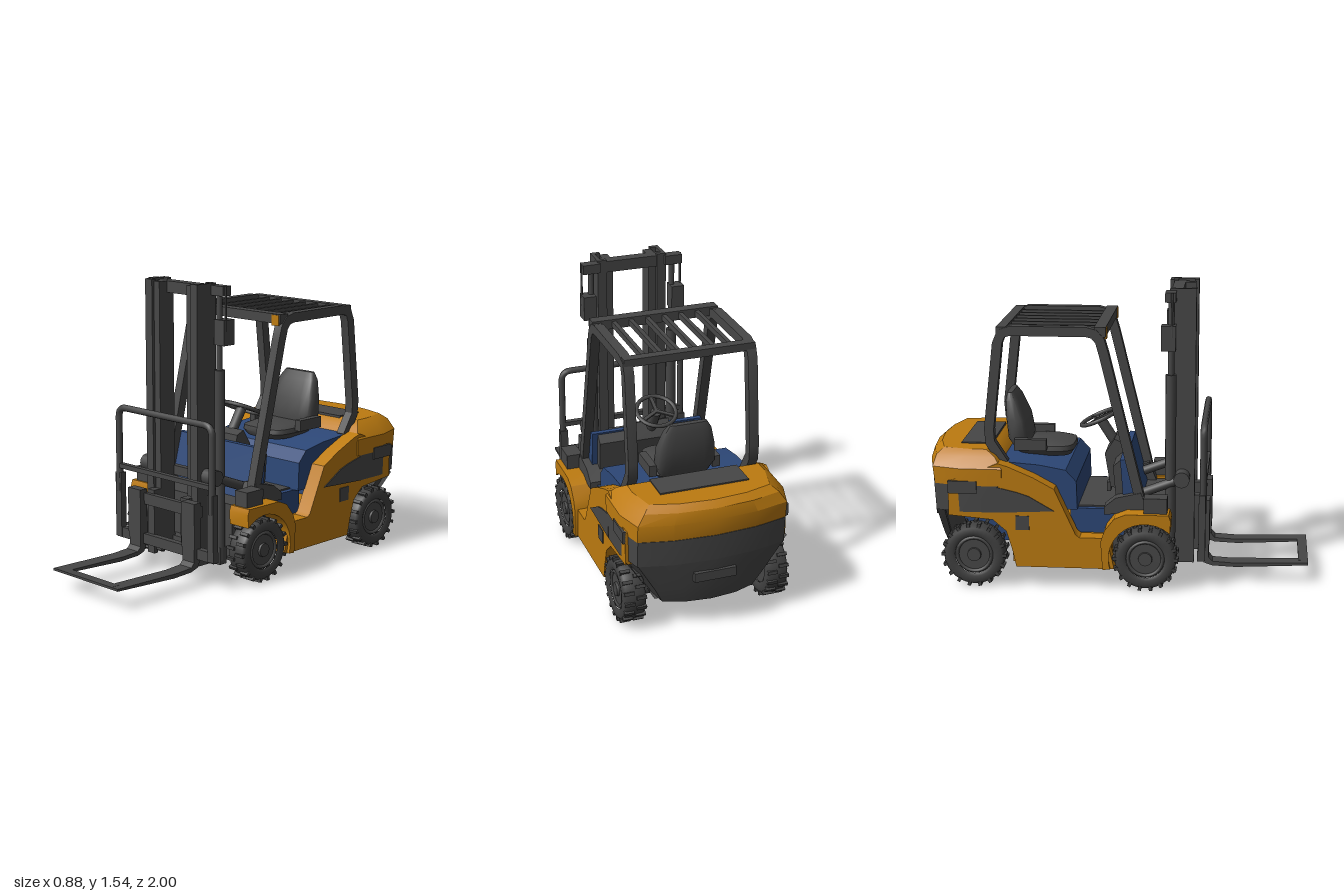
import * as THREE from 'three';
import { toCreasedNormals } from 'three/addons/utils/BufferGeometryUtils.js';

const mat = (name, color) => Object.assign(new THREE.MeshStandardMaterial({ color }), { name });

export function createModel() {
  const dark = mat('charcoal', 0x474747), rubber = mat('tyre rubber', 0x414141);
  const orange = mat('orange paint', 0xbd7b10), blue = mat('blue paint', 0x2d4878);
  const root = new THREE.Group();
  root.name = 'forklift';

  const add = (name, geo, m, parent = root) => {
    const mesh = new THREE.Mesh(geo, m);
    mesh.name = name;
    parent.add(mesh);
    return mesh;
  };
  // box given by its limits
  const box = (name, m, x0, x1, y0, y1, z0, z1) =>
    add(name, new THREE.BoxGeometry(x1 - x0, y1 - y0, z1 - z0)
      .translate((x0 + x1) / 2, (y0 + y1) / 2, (z0 + z1) / 2), m);
  // side profile of [z, y] points extruded from x0 to x1
  const prism = (name, m, pts, x0, x1) => {
    const shape = new THREE.Shape(pts.map(p => new THREE.Vector2(p[0], p[1])));
    const geo = new THREE.ExtrudeGeometry(shape, { depth: x1 - x0, bevelEnabled: false });
    return add(name, toCreasedNormals(geo.rotateY(-Math.PI / 2).translate(x1, 0, 0), 0.5), m);
  };
  // the same part on both sides
  const boxes = (name, m, x0, x1, ...r) => {
    box(name + 'Left', m, x0, x1, ...r);
    box(name + 'Right', m, -x1, -x0, ...r);
  };
  const prisms = (name, m, pts, x0, x1) => {
    prism(name + 'Left', m, pts, x0, x1);
    prism(name + 'Right', m, pts, -x1, -x0);
  };
  // bent flat bar: a [z, y] path thickened by t
  const strip = (path, t) => {
    const off = s => path.map((p, i) => {
      const a = path[Math.max(i - 1, 0)], b = path[Math.min(i + 1, path.length - 1)];
      const dx = b[0] - a[0], dy = b[1] - a[1], l = Math.hypot(dx, dy);
      return [p[0] - dy / l * s, p[1] + dx / l * s];
    });
    return [...off(t / 2), ...off(-t / 2).reverse()];
  };
  // round rod between two points
  const rod = (name, m, a, b, r, sides = 12) => {
    const A = new THREE.Vector3(...a), B = new THREE.Vector3(...b);
    const mesh = add(name, new THREE.CylinderGeometry(r, r, A.distanceTo(B), sides), m);
    mesh.position.copy(A).lerp(B, 0.5);
    mesh.quaternion.setFromUnitVectors(new THREE.Vector3(0, 1, 0), B.sub(A).normalize());
    return mesh;
  };
  // skin over horizontal rings of [x, y, z], listed from bottom to top
  const loft = (name, m, rings, crease = 0.45) => {
    const n = rings[0].length, pos = rings.flat(2), idx = [], top = (rings.length - 1) * n;
    const mean = ring => [0, 1, 2].map(k => ring.reduce((s, p) => s + p[k], 0) / n);
    pos.push(...mean(rings[0]), ...mean(rings[rings.length - 1]));
    const c = rings.length * n;
    for (let i = 0; i < n; i++) {
      const j = (i + 1) % n;
      for (let k = 0; k < top; k += n) idx.push(k + i, k + n + i, k + j, k + j, k + n + i, k + n + j);
      idx.push(c, i, j, c + 1, top + j, top + i);
    }
    const geo = new THREE.BufferGeometry();
    geo.setAttribute('position', new THREE.Float32BufferAttribute(pos, 3));
    geo.setIndex(idx);
    return add(name, toCreasedNormals(geo, crease), m);
  };
  // plan outline with a bowed tail
  const tail = (y, w, zf, zb) => {
    const half = [[w, zf], [w, zb + 0.2], [w * 0.9, zb + 0.055], [w * 0.5, zb + 0.015]];
    return [half[0], ...half.map(p => [-p[0], p[1]]), [0, zb], ...half.slice(1).reverse()]
      .map(p => [p[0], y, p[1]]);
  };
  // rounded-rectangle ring for the seat
  const pad = (y, w, d, zc) => Array.from({ length: 20 }, (_, i) => {
    const a = i / 20 * Math.PI * 2, q = v => Math.sign(v) * Math.abs(v) ** 0.5;
    return [w * q(Math.cos(a)), y, zc + d * q(Math.sin(a))];
  });

  // counterweight
  loft('counterweightTop', orange, [tail(0.54, 0.432, -0.58, -0.99), tail(0.63, 0.432, -0.58, -1),
    tail(0.685, 0.39, -0.62, -0.985), tail(0.715, 0.35, -0.67, -0.95)]);
  loft('counterweightBand', dark, [tail(0.4, 0.43, -0.6, -0.985), tail(0.54, 0.43, -0.6, -0.993)]);
  loft('counterweightBase', dark, [tail(0.15, 0.27, -0.85, -0.94), tail(0.24, 0.32, -0.87, -0.965),
    tail(0.4, 0.425, -0.88, -0.985)]);
  box('rearCoverPlate', dark, -0.235, 0.23, 0.7, 0.722, -0.82, -0.66);
  box('towRecess', dark, -0.11, 0.11, 0.29, 0.34, -0.99, -0.95);
  boxes('sideVent', dark, 0.42, 0.438, 0.5, 0.565, -0.86, -0.71);

  // chassis and body sides
  box('bellyPan', orange, -0.34, 0.34, 0.11, 0.27, -0.54, -0.02);
  box('rearFrame', blue, -0.27, 0.27, 0.2, 0.45, -0.86, -0.53);
  box('frontFrame', dark, -0.29, 0.29, 0.1, 0.4, -0.02, 0.25);
  prisms('sidePanel', orange, [[0, 0.11], [-0.51, 0.11], [-0.53, 0.2], [-0.56, 0.3], [-0.63, 0.36],
    [-0.86, 0.38], [-0.86, 0.56], [-0.6, 0.66], [-0.55, 0.645], [-0.42, 0.59], [-0.31, 0.53],
    [-0.2, 0.29], [-0.18, 0.275], [-0.04, 0.275]], 0.335, 0.425);
  prisms('sideBand', dark, [[-0.31, 0.415], [-0.61, 0.4], [-0.61, 0.535], [-0.5, 0.51], [-0.44, 0.49]], 0.424, 0.431);
  boxes('stepHatch', dark, 0.42, 0.43, 0.31, 0.385, -0.51, -0.44);

  // front fenders with a round arch
  const arch = Array.from({ length: 13 }, (_, i) => {
    const a = -0.3 + i / 12 * 2.6;
    return [0.16 - 0.19 * Math.cos(a), 0.17 + 0.19 * Math.sin(a)];
  });
  prisms('frontFender', orange, [...arch, [0.29, 0.38], [0.28, 0.41], [0.06, 0.41], [0, 0.385],
    [-0.05, 0.32], [-0.07, 0.26], [-0.06, 0.11]], 0.31, 0.442);
  boxes('headlight', dark, 0.33, 0.415, 0.41, 0.49, 0.15, 0.27);

  // cab floor, hood and dash
  box('cabFloor', blue, -0.31, 0.31, 0.26, 0.4, -0.24, 0.05);
  box('floorMat', dark, -0.28, 0.28, 0.4, 0.408, -0.2, 0.04);
  prism('seatHood', blue, [[-0.2, 0.4], [-0.205, 0.55], [-0.26, 0.61], [-0.4, 0.635], [-0.66, 0.655],
    [-0.66, 0.4]], -0.34, 0.34);
  prism('dashFront', blue, [[0.12, 0.4], [0.05, 0.665], [0.02, 0.665], [0.04, 0.4]], -0.31, 0.31);
  prism('dashPanel', dark, [[0.05, 0.4], [0.025, 0.66], [-0.02, 0.62], [0, 0.4]], -0.28, 0.28);
  prism('steeringCowl', dark, [[0.05, 0.44], [0.02, 0.7], [-0.03, 0.72], [-0.08, 0.64], [-0.05, 0.46]], -0.1, 0.1);
  prisms('postFoot', dark, [[0.17, 0.4], [0.13, 0.5], [0, 0.47], [-0.06, 0.42], [-0.06, 0.38]], 0.26, 0.35);
  for (const x of [-0.06, 0.06, 0.14]) box('pedal', dark, x - 0.025, x + 0.025, 0.43, 0.48, -0.07, -0.05);

  // steering wheel
  rod('steeringColumn', dark, [0, 0.66, -0.02], [0, 0.81, -0.115], 0.028);
  const wheel = add('steeringWheel', new THREE.TorusGeometry(0.105, 0.011, 8, 28), dark);
  wheel.position.set(0, 0.815, -0.118);
  wheel.rotation.x = -Math.PI / 2 - 0.42;
  for (let i = 0; i < 3; i++) {
    const spoke = add('steeringSpoke', new THREE.BoxGeometry(0.1, 0.018, 0.01).translate(0.05, 0, 0), dark, wheel);
    spoke.rotation.z = -Math.PI / 2 + i * Math.PI * 2 / 3;
  }

  // seat
  loft('seatCushion', dark, [pad(0.63, 0.13, 0.14, -0.4), pad(0.66, 0.155, 0.16, -0.4),
    pad(0.685, 0.15, 0.155, -0.4), pad(0.7, 0.12, 0.12, -0.42)], 0.8);
  loft('seatBack', dark, [pad(0.66, 0.13, 0.04, -0.52), pad(0.72, 0.155, 0.06, -0.535),
    pad(0.82, 0.15, 0.055, -0.55), pad(0.92, 0.125, 0.035, -0.575), pad(0.96, 0.1, 0.015, -0.585)], 0.8);
  boxes('armrest', dark, 0.15, 0.19, 0.67, 0.73, -0.55, -0.38);

  // overhead guard
  prisms('guardHoop', dark, strip([[0.13, 0.44], [-0.06, 1.22], [-0.08, 1.29], [-0.11, 1.325], [-0.15, 1.335],
    [-0.54, 1.335], [-0.585, 1.32], [-0.605, 1.27], [-0.655, 0.82], [-0.65, 0.75], [-0.58, 0.64]], 0.05), 0.295, 0.345);
  box('guardFrontBar', dark, -0.34, 0.34, 1.31, 1.36, -0.11, -0.05);
  box('guardRearBar', dark, -0.34, 0.34, 1.315, 1.355, -0.61, -0.56);
  for (let i = 0; i < 6; i++) {
    const x = (i - 2.5) * 0.09;
    box('guardSlat', dark, x - 0.011, x + 0.011, 1.32, 1.35, -0.57, -0.1);
  }
  boxes('guardLamp', orange, 0.282, 0.33, 1.3, 1.355, -0.056, -0.046);

  // wheels with two staggered rows of lugs
  const profile = [[0.1, -0.05], [0.115, -0.058], [0.145, -0.058], [0.158, -0.045], [0.161, 0],
    [0.158, 0.045], [0.145, 0.058], [0.115, 0.058], [0.1, 0.05]].map(p => new THREE.Vector2(...p));
  for (const [z, end] of [[0.16, 'front'], [-0.73, 'rear']]) {
    rod(end + 'Axle', dark, [-0.36, 0.17, z], [0.36, 0.17, z], 0.05);
    for (const s of [1, -1]) {
      const g = new THREE.Group();
      g.name = end + (s > 0 ? 'LeftWheel' : 'RightWheel');
      g.position.set(s * 0.382, 0.17, z);
      g.rotation.z = -s * Math.PI / 2;
      root.add(g);
      add('tyre', new THREE.LatheGeometry(profile, 36), rubber, g);
      add('rim', new THREE.CylinderGeometry(0.102, 0.102, 0.085, 28), dark, g);
      add('rimRing', new THREE.TorusGeometry(0.09, 0.01, 6, 28).rotateX(Math.PI / 2).translate(0, 0.042, 0), dark, g);
      add('hub', new THREE.CylinderGeometry(0.035, 0.05, 0.11, 16), dark, g);
      for (let i = 0; i < 36; i++) {
        const lug = add('treadLug', new THREE.BoxGeometry(0.022, 0.052, 0.017)
          .translate(0.159, i % 2 ? 0.031 : -0.031, 0), rubber, g);
        lug.rotation.y = i / 36 * Math.PI * 2;
      }
    }
  }

  // mast
  boxes('outerRailFront', dark, 0.14, 0.19, 0.08, 1.54, 0.375, 0.4);
  boxes('outerRailBack', dark, 0.14, 0.19, 0.08, 1.54, 0.265, 0.29);
  boxes('outerRailWeb', dark, 0.17, 0.19, 0.08, 1.54, 0.28, 0.39);
  boxes('innerRail', dark, 0.1, 0.145, 0.1, 1.53, 0.285, 0.385);
  box('mastTopBar', dark, -0.19, 0.19, 1.47, 1.53, 0.27, 0.33);
  box('mastMiddleBar', dark, -0.19, 0.19, 0.5, 0.55, 0.255, 0.29);
  box('mastLowerBar', dark, -0.25, 0.25, 0.08, 0.17, 0.25, 0.3);
  boxes('mastHead', dark, 0.18, 0.275, 1.48, 1.53, 0.245, 0.3);
  boxes('hoseBlock', dark, 0.21, 0.28, 1.23, 1.36, 0.225, 0.3);
  for (const s of [1, -1]) {
    rod('liftCylinder', dark, [s * 0.225, 0.1, 0.275], [s * 0.225, 1.1, 0.275], 0.028);
    rod('liftRod', dark, [s * 0.225, 1.1, 0.275], [s * 0.225, 1.5, 0.275], 0.016);
    rod('hoseGuide', dark, [s * 0.275, 1.3, 0.28], [s * 0.275, 1.53, 0.28], 0.006, 6);
    rod('tiltPivot', dark, [s * 0.18, 0.55, 0.335], [s * 0.27, 0.55, 0.335], 0.042, 16);
    rod('tiltCylinder', dark, [s * 0.235, 0.55, 0.335], [s * 0.235, 0.44, 0.05], 0.025);
  }

  // carriage and load backrest
  box('carriageUpperBar', dark, -0.25, 0.25, 0.36, 0.42, 0.425, 0.455);
  box('carriageLowerBar', dark, -0.365, 0.365, 0.145, 0.2, 0.425, 0.46);
  boxes('carriageSide', dark, 0.325, 0.368, 0.15, 0.5, 0.43, 0.465);
  boxes('carriageRoller', dark, 0.1, 0.15, 0.14, 0.44, 0.38, 0.435);
  box('backrestBar', dark, -0.35, 0.35, 0.525, 0.55, 0.435, 0.465);
  const hoop = new THREE.CurvePath(), v = (x, y) => new THREE.Vector3(x, y, 0.452);
  hoop.add(new THREE.LineCurve3(v(-0.348, 0.4), v(-0.348, 0.8)));
  hoop.add(new THREE.QuadraticBezierCurve3(v(-0.348, 0.8), v(-0.348, 0.853), v(-0.295, 0.853)));
  hoop.add(new THREE.LineCurve3(v(-0.295, 0.853), v(0.295, 0.853)));
  hoop.add(new THREE.QuadraticBezierCurve3(v(0.295, 0.853), v(0.348, 0.853), v(0.348, 0.8)));
  hoop.add(new THREE.LineCurve3(v(0.348, 0.8), v(0.348, 0.4)));
  add('backrestHoop', new THREE.TubeGeometry(hoop, 90, 0.018, 8), dark);

  // forks joined at the tip
  prisms('fork', dark, [[0.48, 0.44], [0.48, 0.13], [0.5, 0.108], [0.6, 0.102], [1, 0.112], [1, 0.1],
    [0.62, 0.08], [0.5, 0.085], [0.455, 0.1], [0.44, 0.13], [0.44, 0.44]], 0.16, 0.245);
  boxes('forkShank', dark, 0.155, 0.25, 0.2, 0.44, 0.435, 0.483);
  box('forkTipBar', dark, -0.2, 0.2, 0.1, 0.112, 0.95, 1);
  return root;
}
